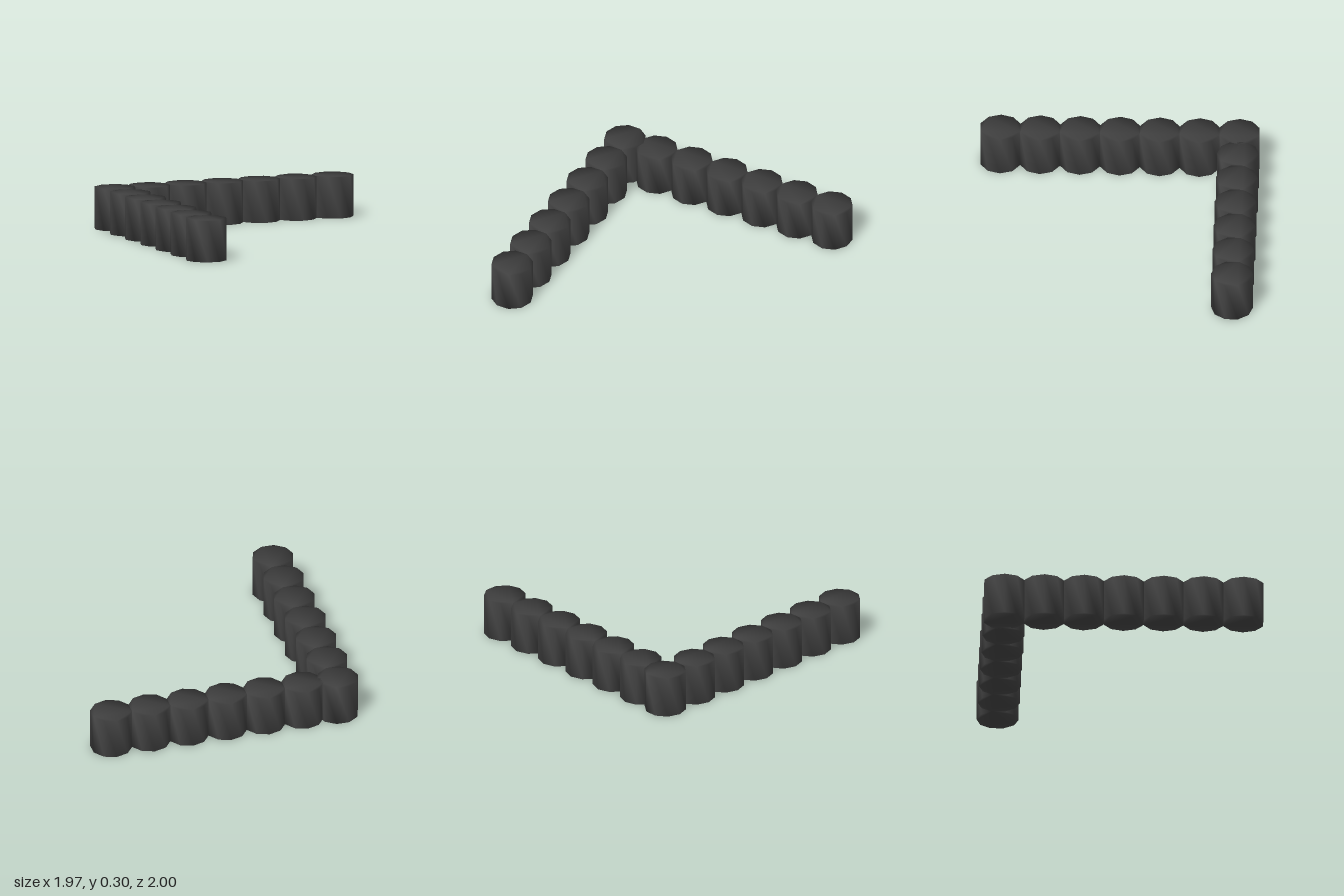
import * as THREE from 'three';
import { mergeVertices } from 'three/addons/utils/BufferGeometryUtils.js';

const RADIUS = 0.15, HEIGHT = 0.3, SIDES = 10;

// Ten-sided upright post, with normals shared between wall and caps
function postGeometry() {
  const corners = [];
  for (let i = 0; i < SIDES; i++) {
    const a = (i / SIDES) * Math.PI * 2;
    corners.push(new THREE.Vector2(RADIUS * Math.cos(a), RADIUS * Math.sin(a)));
  }
  let geometry = new THREE.ExtrudeGeometry(new THREE.Shape(corners), { depth: HEIGHT, bevelEnabled: false });
  geometry.rotateX(-Math.PI / 2);
  geometry.deleteAttribute('normal');
  geometry.deleteAttribute('uv');
  geometry.clearGroups();
  geometry = mergeVertices(geometry, 1e-4);
  geometry.computeVertexNormals();
  return geometry;
}

export function createModel() {
  const model = new THREE.Group();
  model.name = 'cornerPalisade';
  const charcoal = new THREE.MeshStandardMaterial({ color: 0x404040 });
  charcoal.name = 'charcoal';

  const sidePost = postGeometry();
  const backPost = sidePost.clone().rotateY(Math.PI / 2);

  const addRow = (name, geometry, count, place) => {
    const row = new THREE.Group();
    row.name = name;
    for (let i = 0; i < count; i++) {
      const post = new THREE.Mesh(geometry, charcoal);
      post.name = `${name}Post${i + 1}`;
      place(post.position, i);
      row.add(post);
    }
    model.add(row);
  };

  // Row running front to back, including the corner post
  addRow('sideRow', sidePost, 7, (p, i) => p.set(-0.838, 0, 0.857 - i * 0.285));

  // Row running along the back, flat sides touching
  addRow('backRow', backPost, 6, (p, i) => p.set(0.843 - i * 0.284, 0, -0.85));

  return model;
}
